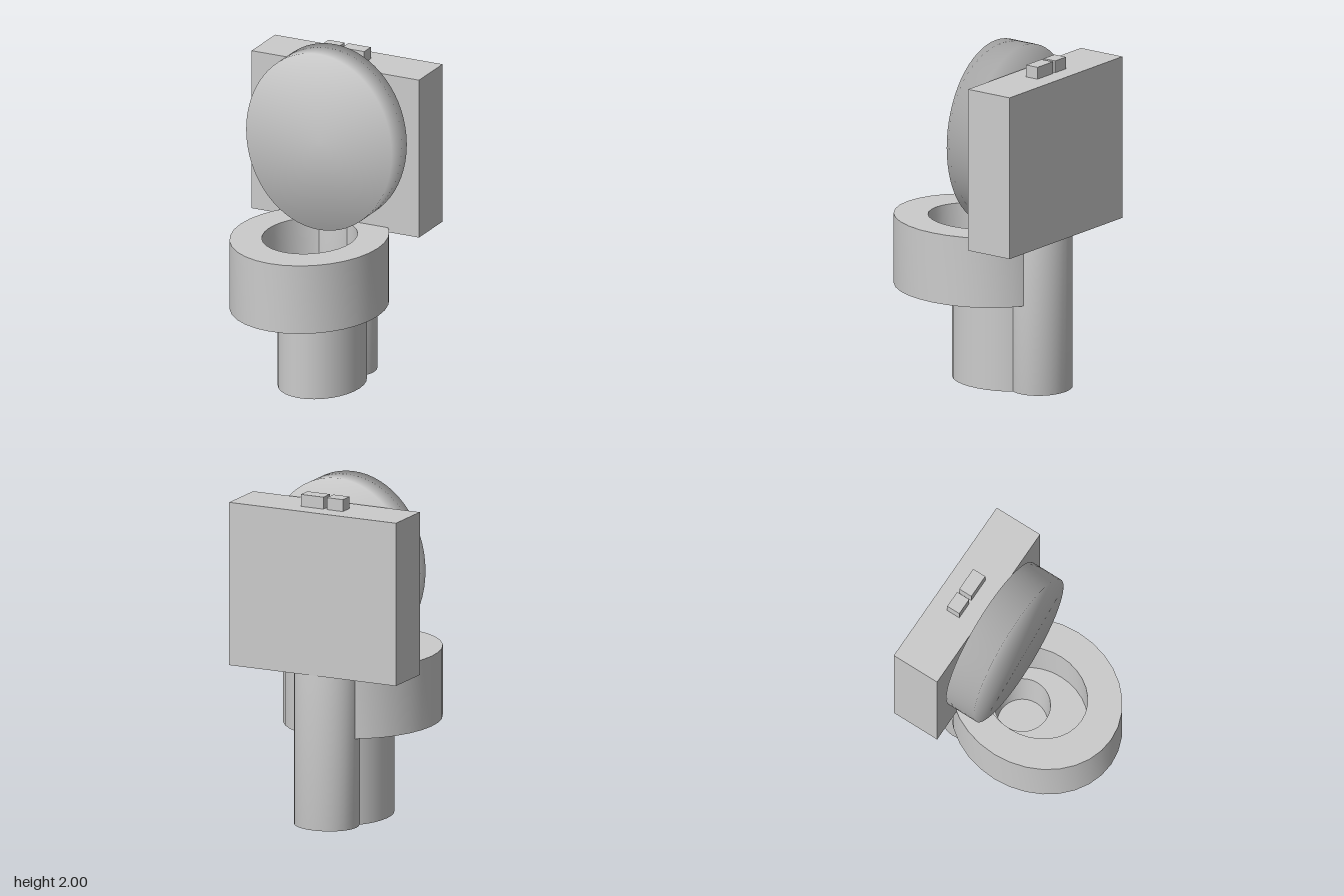
import * as THREE from 'three';
import { mergeVertices, toCreasedNormals } from 'three/addons/utils/BufferGeometryUtils.js';

const SIDES = 32;

export function createModel() {
  const model = new THREE.Group();
  model.name = 'toilet';
  const grey = new THREE.MeshStandardMaterial({ color: 0xcccccc });
  const greyOpen = new THREE.MeshStandardMaterial({ color: 0xcccccc, side: THREE.DoubleSide });

  function add(name, geometry, material = grey) {
    const mesh = new THREE.Mesh(geometry, material);
    mesh.name = name;
    model.add(mesh);
    return mesh;
  }

  // Box given by its limits on each axis
  function box(name, [x0, x1], [y0, y1], [z0, z1]) {
    const geometry = new THREE.BoxGeometry(x1 - x0, y1 - y0, z1 - z0);
    geometry.translate((x0 + x1) / 2, (y0 + y1) / 2, (z0 + z1) / 2);
    return add(name, geometry);
  }

  // Upright elliptical column
  function column(rx, rz, y0, y1, z, open = false) {
    const geometry = new THREE.CylinderGeometry(1, 1, y1 - y0, SIDES, 1, open);
    return geometry.scale(rx, 1, rz).translate(0, (y0 + y1) / 2, z);
  }

  // Shared normals across the rims give a soft, cushioned shading
  function soften(geometry) {
    geometry.deleteAttribute('normal');
    geometry.deleteAttribute('uv');
    const merged = mergeVertices(geometry, 1e-4);
    merged.computeVertexNormals();
    return merged;
  }

  // Elliptical slab with an elliptical opening; ellipses are { rx, rz, z }
  function ringSlab(outer, inner, y0, y1) {
    const trace = (path, e) => path.absellipse(0, -e.z, e.rx, e.rz, 0, Math.PI * 2);
    const shape = new THREE.Shape();
    trace(shape, outer);
    const hole = new THREE.Path();
    trace(hole, inner);
    shape.holes.push(hole);
    const geometry = new THREE.ExtrudeGeometry(shape, {
      depth: y1 - y0, bevelEnabled: false, curveSegments: SIDES / 2,
    });
    geometry.rotateX(-Math.PI / 2).translate(0, y0, 0);
    return toCreasedNormals(geometry, 0.6);
  }

  // Bowl: thick wall, floor and drain pit
  const bowlOuter = { rx: 0.44, rz: 0.51, z: 0.055 };
  const bowlInner = { rx: 0.263, rz: 0.31, z: 0.05 };
  const drain = { rx: 0.16, rz: 0.16, z: -0.04 };
  add('bowl', ringSlab(bowlOuter, bowlInner, 0.525, 0.937));
  add('bowlFloor', ringSlab(bowlInner, drain, 0.525, 0.6));

  const pit = new THREE.CylinderGeometry(0.16, 0.145, 0.3, SIDES, 1, true);
  add('drainWall', pit.translate(0, 0.45, drain.z), greyOpen);
  const pitFloor = new THREE.CircleGeometry(0.145, SIDES).rotateX(-Math.PI / 2);
  add('drainFloor', pitFloor.translate(0, 0.3, drain.z));

  // Pedestal, open at the top where the drain enters
  add('pedestal', column(0.24, 0.303, 0, 0.525, -0.107, true));
  const foot = new THREE.CircleGeometry(1, SIDES).rotateX(Math.PI / 2);
  add('pedestalFoot', foot.scale(0.24, 1, 0.303).translate(0, 0, -0.107));

  // Rear column carrying the tank
  add('rearColumn', soften(column(0.19, 0.17, 0, 1.21, -0.39)));

  // Raised lid
  const lid = new THREE.CylinderGeometry(1, 1, 0.19, SIDES * 2).rotateX(Math.PI / 2);
  add('lid', soften(lid.scale(0.465, 0.5325, 1).translate(0, 1.4675, -0.16)));

  // Tank with two flush buttons
  box('tank', [-0.535, 0.535], [0.91, 1.865], [-0.565, -0.27]);
  box('smallFlushButton', [-0.14, -0.037], [1.85, 1.935], [-0.46, -0.378]);
  box('largeFlushButton', [-0.015, 0.13], [1.85, 1.935], [-0.46, -0.378]);

  return model;
}
